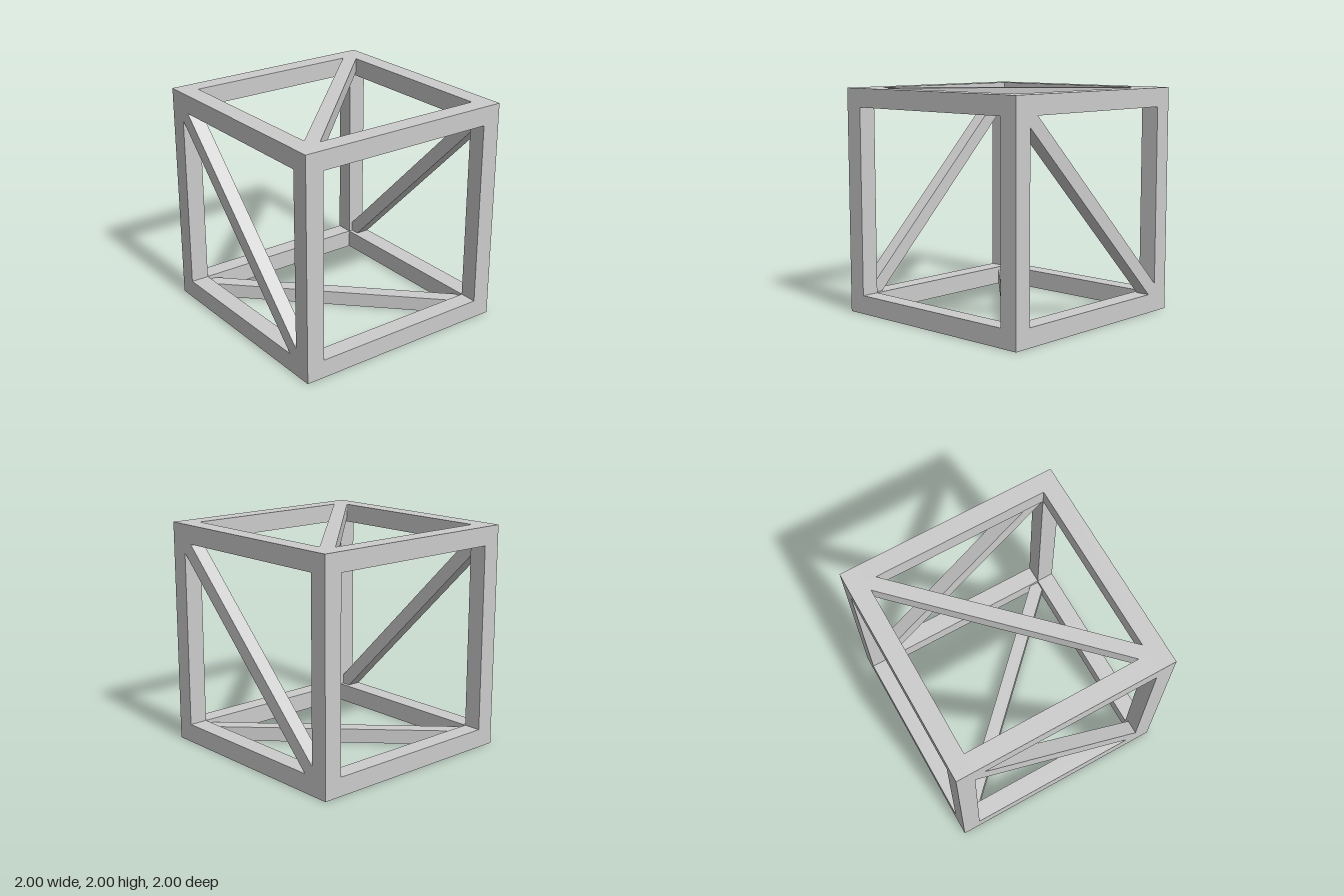
import * as THREE from 'three';

const material = new THREE.MeshStandardMaterial({ color: 0xcccccc, flatShading: true });
const X = 0.834, Y = 0.834, Z = 0.838; // half sizes of the openings
const DEPTH = 0.13;                    // thickness of the braces
const CUT = 0.088;                     // how far a brace reaches along each side of a corner

function add(parent, name, geometry) {
  const mesh = new THREE.Mesh(geometry, material);
  mesh.name = name;
  parent.add(mesh);
  return mesh;
}

const points = (list) => list.map(([x, y]) => new THREE.Vector2(x, y));

function extrude(shape, depth) {
  return new THREE.ExtrudeGeometry(shape, { depth, bevelEnabled: false });
}

// Diagonal bar whose pointed ends fit into two opposite corners of an opening
function braceGeometry(u, v, flip = 1) {
  const outline = [
    [u, v], [u - CUT, v], [-u, -v + CUT],
    [-u, -v], [-u + CUT, -v], [u, v - CUT],
  ].map(([a, b]) => [a * flip, b]);
  return extrude(new THREE.Shape(points(outline)), DEPTH);
}

export function createModel() {
  const model = new THREE.Group();
  model.name = 'bracedCube';

  // Square frames at front and back
  const square = new THREE.Shape(points([[-1, -1], [1, -1], [1, 1], [-1, 1]]));
  square.holes.push(new THREE.Path(points([[-X, -Y], [-X, Y], [X, Y], [X, -Y]])));
  const frame = extrude(square, 1 - Z);
  add(model, 'frontFrame', frame).position.set(0, 1, Z);
  add(model, 'backFrame', frame).position.set(0, 1, -1);

  // Four beams joining the frames
  const beam = new THREE.BoxGeometry(1 - X, 1 - Y, 2 * Z);
  for (const sx of [-1, 1]) {
    for (const sy of [-1, 1]) {
      add(model, `${sy > 0 ? 'top' : 'bottom'}${sx > 0 ? 'Left' : 'Right'}Beam`, beam)
        .position.set(sx * (1 + X) / 2, 1 + sy * (1 + Y) / 2, 0);
    }
  }

  // Side braces, flush with the outer faces and half a turn apart
  const side = braceGeometry(Z, Y).rotateY(-Math.PI / 2).translate(1, 0, 0);
  add(model, 'leftBrace', side).position.y = 1;
  const rightBrace = add(model, 'rightBrace', side);
  rightBrace.position.y = 1;
  rightBrace.rotation.y = Math.PI;

  // Top and bottom braces, crossing each other when seen from above
  const top = braceGeometry(X, Z, -1).rotateX(Math.PI / 2).translate(0, 1, 0);
  add(model, 'topBrace', top).position.y = 1;
  const bottomBrace = add(model, 'bottomBrace', top);
  bottomBrace.position.y = 1;
  bottomBrace.rotation.x = Math.PI;

  return model;
}
